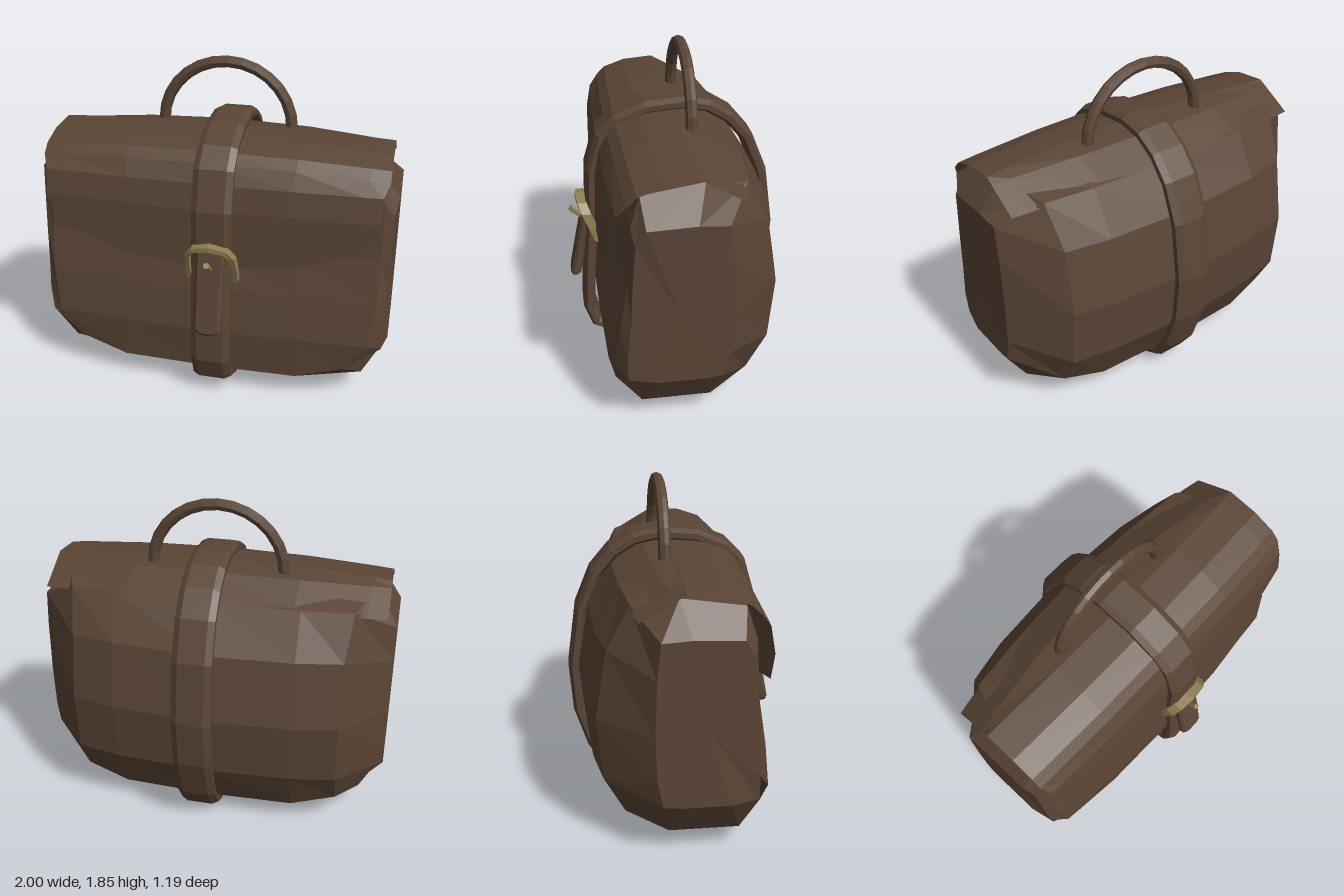
import * as THREE from 'three';

const leather = new THREE.MeshStandardMaterial({ color: 0x5a4535, flatShading: true, side: THREE.DoubleSide });
leather.name = 'brown leather';
const brass = new THREE.MeshStandardMaterial({ color: 0x8f8052, flatShading: true });
brass.name = 'dull brass';

// Skin rows of [x, y, z] points; optionally close the rows, the path, or cap the ends.
function loft(rows, { ring = true, path = false, caps = false } = {}) {
  const n = rows[0].length, m = rows.length, index = [];
  const points = rows.flat();
  const id = (i, j) => (i % m) * n + (j % n);
  for (let i = 0; i < (path ? m : m - 1); i++) {
    for (let j = 0; j < (ring ? n : n - 1); j++) {
      const a = id(i, j), b = id(i + 1, j), c = id(i + 1, j + 1), d = id(i, j + 1);
      index.push(a, b, d, b, c, d);
    }
  }
  if (caps) {
    for (const i of [0, m - 1]) {
      const centre = [0, 1, 2].map(k => rows[i].reduce((s, p) => s + p[k], 0) / n);
      const c = points.push(centre) - 1;
      for (let j = 0; j < n; j++) {
        if (i === 0) index.push(c, id(i, j), id(i, j + 1));
        else index.push(c, id(i, j + 1), id(i, j));
      }
    }
  }
  const geo = new THREE.BufferGeometry();
  geo.setAttribute('position', new THREE.Float32BufferAttribute(points.flat(), 3));
  geo.setIndex(index);
  geo.computeVertexNormals();
  return geo;
}

function add(parent, name, geo, mat) {
  const mesh = new THREE.Mesh(geo, mat);
  mesh.name = name;
  parent.add(mesh);
  return mesh;
}

// Bag body: half cross-sections from the middle to the end, mirrored across x
function bodyGeometry() {
  const middle = [[.43, .15], [.45, .4], [.42, .65], [.37, .9], [.34, 1.25], [.27, 1.4], [-.05, 1.46],
    [-.33, 1.36], [-.48, 1.12], [-.545, .75], [-.51, .4], [-.37, .13], [-.1, .08], [.27, .08]]
    .map(([z, y]) => [0, y, z]);
  const shoulder = [[.77, .23, .4], [.9, .4, .41], [.93, .65, .38], [.93, .9, .34], [.93, 1.22, .32],
    [.9, 1.38, .27], [.88, 1.42, -.05], [.78, 1.36, -.28], [.75, 1.12, -.4], [.75, .75, -.46],
    [.75, .4, -.43], [.75, .2, -.32], [.87, .14, -.1], [.87, .14, .27]];
  const end = [[.97, .36, .35], [.98, .5, .35], [.98, .7, .33], [.98, .9, .32], [.98, 1.15, .3],
    [1, 1.24, .25], [1, 1.25, 0], [1, 1.24, -.15], [1, 1.05, -.17], [1, .75, -.18],
    [1, .5, -.17], [1, .36, -.14], [1, .35, -.05], [1, .35, .2]];
  const between = middle.map(([, y, z], i) => [.5, y, z + (shoulder[i][2] - z) * .4]);
  const half = [between, shoulder, end];
  const mirrored = half.map(r => r.map(([x, y, z]) => [-x, y, z])).reverse();
  return loft([...mirrored, middle, ...half], { caps: true });
}

// Flap: a curved sheet over the top with a bowed lower edge
function flapGeometry() {
  const stations = [[.92, 1.13], [.82, .96], [.45, .84], [0, .8]];
  const all = [...stations.map(([x, y]) => [-x, y]), ...stations.slice(0, 3).reverse()];
  const profile = [[.435, 1.14], [.41, 1.28], [.36, 1.38], [.31, 1.43], [.18, 1.475], [0, 1.49],
    [-.16, 1.465], [-.34, 1.36]];
  return loft(all.map(([x, low]) => {
    const t = (x / .92) ** 2;
    const upper = profile.map(([z, y]) => [
      x * (y > 1.35 ? 1.03 : 1), y - (y > 1.35 ? .035 * t : 0), z < -.1 ? z + .09 * t : z - .025 * t]);
    return [[x, low, .445 - .035 * t], ...upper];
  }), { ring: false });
}

// Strap: a bevelled band swept around the bag
function strapGeometry() {
  const loop = [[.53, .25], [.52, .5], [.495, .8], [.485, 1.15], [.42, 1.37], [.32, 1.47], [.15, 1.54],
    [-.07, 1.56], [-.22, 1.53], [-.35, 1.45], [-.46, 1.32], [-.55, 1.1], [-.6, .75], [-.58, .47],
    [-.5, .22], [-.4, .08], [-.3, .03], [-.12, .005], [.18, .005], [.31, .03], [.48, .11]];
  const section = [[.075, 0], [-.075, 0], [-.11, .02], [-.11, .05], [-.075, .07], [.075, .07], [.11, .05], [.11, .02]];
  const n = loop.length;
  return loft(loop.map(([z, y], i) => {
    const p = loop[(i + n - 1) % n], q = loop[(i + 1) % n];
    const dz = q[0] - p[0], dy = q[1] - p[1], l = Math.hypot(dz, dy);
    return section.map(([x, d]) => [x + .035, y + dz / l * d, z - dy / l * d]);
  }), { path: true });
}

// Buckle: flat bar bent into an arch that leans forward at the top
function buckleGeometry() {
  const half = [[-.13, .73, .42], [-.132, .82, .455], [-.125, .9, .49], [-.09, .945, .51]];
  const path = [...half, [0, .965, .52], ...half.map(([x, y, z]) => [-x, y, z]).reverse()];
  return loft(path.map(([x, y, z], i) => {
    const p = path[Math.max(i - 1, 0)], q = path[Math.min(i + 1, path.length - 1)];
    const dx = q[0] - p[0], dy = q[1] - p[1], l = Math.hypot(dx, dy);
    return [[-1, 1], [1, 1], [1, -1], [-1, -1]].map(([a, b]) =>
      [x + .035 - dy / l * a * .013, y + dx / l * a * .013, z + b * .027]);
  }), { caps: true });
}

export function createModel() {
  const bag = new THREE.Group();
  bag.name = 'satchel';
  add(bag, 'body', bodyGeometry(), leather);
  add(bag, 'flap', flapGeometry(), leather);
  add(bag, 'strap', strapGeometry(), leather);

  // Carrying handle
  const arch = [];
  for (let i = 0; i <= 14; i++) {
    const a = Math.PI * (1 - i / 14);
    arch.push(new THREE.Vector3(Math.cos(a) * .37, 1.46 + Math.sin(a) * .36, -.07));
  }
  add(bag, 'handle', new THREE.TubeGeometry(new THREE.CatmullRomCurve3(arch), 14, .033, 8), leather);

  // Loose strap end hanging through the buckle
  const shape = new THREE.Shape([[-.06, .03], [-.035, .01], [.035, .01], [.06, .03], [.065, .47], [-.065, .47]]
    .map(([x, y]) => new THREE.Vector2(x, y)));
  const tongue = add(bag, 'strapEnd', new THREE.ExtrudeGeometry(shape,
    { depth: .025, bevelSize: .015, bevelThickness: .015, bevelSegments: 1 }), leather);
  tongue.position.set(.035, .455, .557);
  tongue.rotation.x = -.2;

  // Buckle and its prong
  add(bag, 'buckle', buckleGeometry(), brass);
  const prong = add(bag, 'bucklePin', new THREE.CylinderGeometry(.018, .018, .11, 6), brass);
  prong.position.set(.035, .85, .535);
  prong.rotation.x = .85;
  return bag;
}
